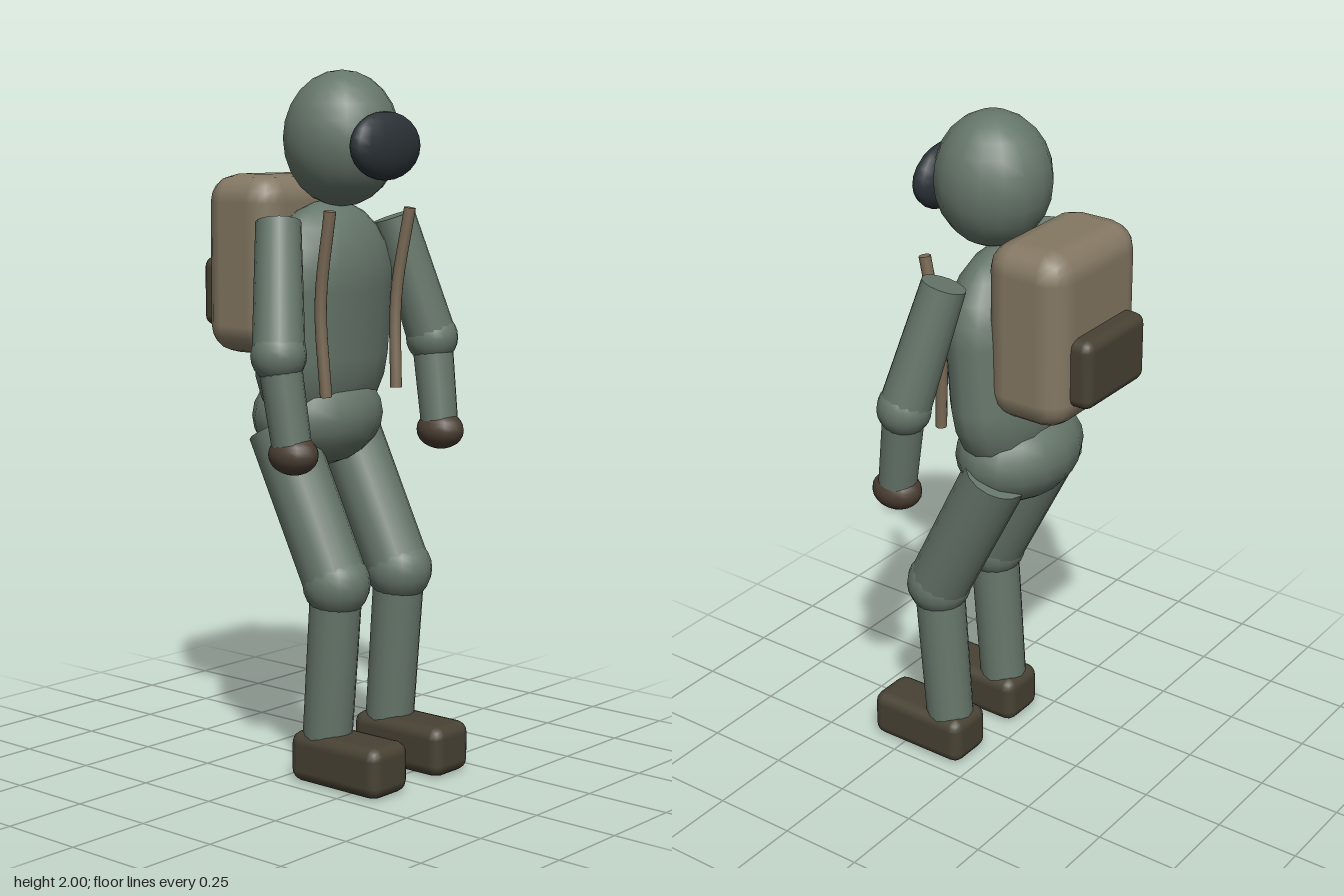
import * as THREE from 'three';
import { RoundedBoxGeometry } from 'three/addons/geometries/RoundedBoxGeometry.js';

const mat = (name, color) => {
  const m = new THREE.MeshStandardMaterial({ color });
  m.name = name;
  return m;
};

export function createModel() {
  const suit = mat('suit green', 0x66766a);
  const visorGlass = mat('visor glass', 0x2c3338);
  const canvas = mat('pack canvas', 0x847863);
  const leather = mat('dark leather', 0x484234);
  const gloveCloth = mat('glove brown', 0x4a3e32);
  const webbing = mat('strap webbing', 0x7c6c57);

  const root = new THREE.Group();
  root.name = 'suitedFigure';
  const V = (x, y, z) => new THREE.Vector3(x, y, z);

  const add = (parent, name, geometry, material, pos = V(0, 0, 0)) => {
    const mesh = new THREE.Mesh(geometry, material);
    mesh.name = name;
    mesh.position.copy(pos);
    parent.add(mesh);
    return mesh;
  };
  const ellipsoid = (parent, name, material, pos, rx, ry = rx, rz = rx) => {
    const geo = new THREE.SphereGeometry(1, 16, 12).scale(rx, ry, rz);
    return add(parent, name, geo, material, pos);
  };
  const roundedBox = (parent, name, material, pos, w, h, d, r) =>
    add(parent, name, new RoundedBoxGeometry(w, h, d, 2, r), material, pos);
  // Tapered cylinder running from a (radius ra) to b (radius rb)
  const limb = (parent, name, a, b, ra, rb) => {
    const dir = a.clone().sub(b);
    const geo = new THREE.CylinderGeometry(ra, rb, dir.length(), 16);
    const mesh = add(parent, name, geo, suit, a.clone().add(b).multiplyScalar(0.5));
    mesh.quaternion.setFromUnitVectors(V(0, 1, 0), dir.normalize());
    return mesh;
  };

  // Helmet and visor
  ellipsoid(root, 'helmet', suit, V(0, 1.81, 0.05), 0.163, 0.19, 0.167);
  ellipsoid(root, 'visor', visorGlass, V(0, 1.79, 0.209), 0.142, 0.095, 0.047);

  // Body
  const torso = add(root, 'torso', new THREE.CapsuleGeometry(0.245, 0.19, 6, 16).scale(1, 1, 0.57),
    suit, V(0, 1.3, -0.015));
  torso.rotation.x = 0.08;
  ellipsoid(root, 'pelvis', suit, V(0, 1.025, -0.04), 0.215, 0.147, 0.165);

  // Backpack with pocket
  roundedBox(root, 'backpack', canvas, V(0, 1.455, -0.179), 0.412, 0.51, 0.26, 0.08);
  roundedBox(root, 'backpackPocket', leather, V(0, 1.37, -0.315), 0.286, 0.2, 0.1, 0.03);

  // Mirrored straps, arms and legs
  for (const s of [1, -1]) {
    const side = s > 0 ? 'left' : 'right';

    const path = new THREE.CatmullRomCurve3([
      V(0.172 * s, 1.615, 0.157), V(0.163 * s, 1.36, 0.115), V(0.152 * s, 1.1, 0.125)]);
    const strap = add(root, side + 'Strap', new THREE.TubeGeometry(path, 12, 0.017, 8), webbing);
    // Close the tube ends
    for (const t of [0, 1]) {
      const cap = add(strap, 'strapEnd', new THREE.CircleGeometry(0.017, 8), webbing, path.getPoint(t));
      const out = path.getTangent(t).multiplyScalar(t ? 1 : -1);
      cap.quaternion.setFromUnitVectors(V(0, 0, 1), out);
    }

    const arm = new THREE.Group();
    arm.name = side + 'Arm';
    const shoulder = V(0.247 * s, 1.585, 0.035);
    const elbow = V(0.332 * s, 1.23, 0.113);
    const wrist = V(0.322 * s, 0.99, 0.15);
    limb(arm, 'upperArm', shoulder, elbow, 0.063, 0.073);
    ellipsoid(arm, 'elbow', suit, elbow, 0.077);
    limb(arm, 'forearm', elbow, wrist, 0.06, 0.055);
    ellipsoid(arm, 'glove', gloveCloth, V(0.32 * s, 0.962, 0.155), 0.062, 0.056, 0.075);

    const leg = new THREE.Group();
    leg.name = side + 'Leg';
    const hip = V(0.138 * s, 0.995, -0.058);
    const knee = V(0.138 * s, 0.575, 0.152);
    const ankle = V(0.138 * s, 0.12, 0.118);
    limb(leg, 'thigh', hip, knee, 0.094, 0.092);
    ellipsoid(leg, 'knee', suit, knee, 0.096);
    limb(leg, 'shin', knee, ankle, 0.074, 0.071);
    roundedBox(leg, 'boot', leather, V(0.138 * s, 0.073, 0.198), 0.156, 0.146, 0.325, 0.035);

    root.add(arm, leg);
  }
  return root;
}
